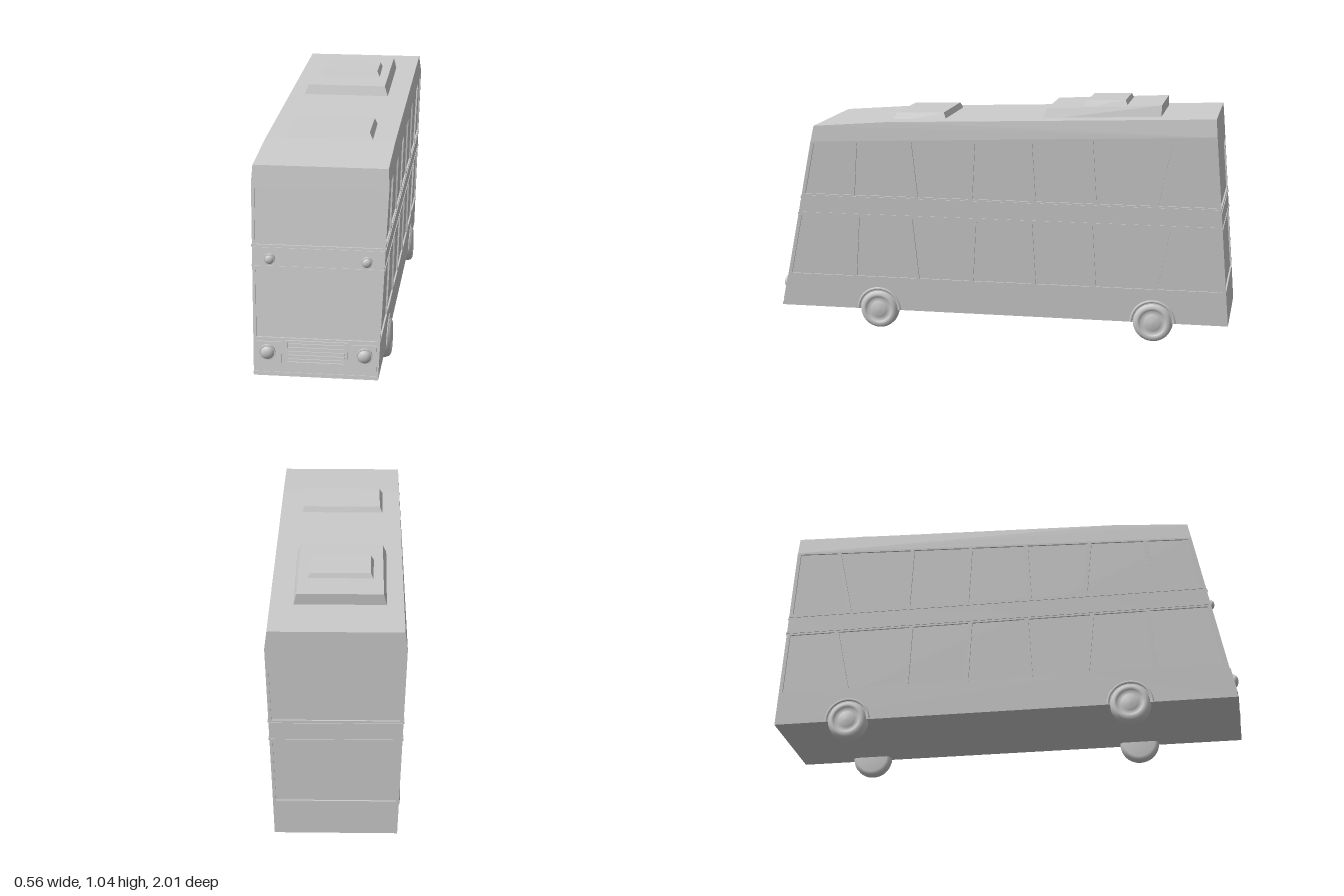
import * as THREE from 'three';
import { ConvexGeometry } from 'three/addons/geometries/ConvexGeometry.js';

const mat = new THREE.MeshStandardMaterial({ color: 0xcccccc });
const flat = new THREE.MeshStandardMaterial({ color: 0xcccccc, flatShading: true });

// Body envelope: half width, front and rear faces by height, and the side crease under the roof
const halfW = y => 0.25 + (y - 0.085) * 0.034;
const frontZ = y => 1 - (y - 0.085) * 0.207;
const rearZ = y => -1 + (y - 0.085) * 0.078;
const creaseY = z => 0.84 + (0.8437 - z) * 0.0393;
const FLOOR = 0.085, SKIN = 0.007;

// Mappings from flat (u, v, outward) onto each leaning wall
const onSide = (u, v, d) => [halfW(v) + d, v, -u];
const onFront = (u, v, d) => [u, v, frontZ(v) + d];
const onRear = (u, v, d) => [-u, v, rearZ(v) - d];

function add(parent, name, geometry, material = flat) {
  const mesh = new THREE.Mesh(geometry, material);
  mesh.name = name;
  parent.add(mesh);
  return mesh;
}

// Sheet with holes, laid on a wall between two offsets
function sheet(parent, name, map, outline, holes, inner, outer) {
  const vec = p => new THREE.Vector2(...p);
  const shape = new THREE.Shape(outline.map(vec));
  shape.holes = holes.map(h => new THREE.Path(h.map(vec)));
  const geo = new THREE.ExtrudeGeometry(shape, { depth: outer - inner, bevelEnabled: false });
  const pos = geo.attributes.position;
  for (let i = 0; i < pos.count; i++) {
    pos.setXYZ(i, ...map(pos.getX(i), pos.getY(i), pos.getZ(i) + inner));
  }
  geo.computeVertexNormals();
  return add(parent, name, geo);
}

const rect = (x0, x1, y0, y1) => [[x0, y0], [x1, y0], [x1, y1], [x0, y1]];

// Strip between two heights that keeps a margin from the tapering sides
function endStrip(y0, y1, margin) {
  const a = halfW(y0) - margin, b = halfW(y1) - margin;
  return [[-a, y0], [a, y0], [b, y1], [-b, y1]];
}

function hull(parent, name, points) {
  return add(parent, name, new ConvexGeometry(points.map(p => new THREE.Vector3(...p))));
}

const mirrored = list => list.flatMap(([x, y, z]) => [[x, y, z], [-x, y, z]]);

// Window openings of one deck on a side wall
function sideWindows(y0, topAt) {
  const mid = y0 + 0.13;
  const bars = [[0.65, -0.07], [0.385, 0.1], [0.12, -0.06], [-0.145, 0.06], [-0.41, 0.06], [-0.71, -0.2]];
  const lines = [y => frontZ(y) - 0.016,
    ...bars.map(([z, lean]) => y => z + lean * (y - mid)),
    y => rearZ(y) + 0.016];
  const holes = [];
  for (let i = 0; i < lines.length - 1; i++) {
    const g0 = i ? 0.009 : 0, g1 = i < lines.length - 2 ? 0.009 : 0;
    const yA = topAt(lines[i](y0 + 0.25)), yB = topAt(lines[i + 1](y0 + 0.25));
    holes.push([
      [-(lines[i](y0) - g0), y0], [-(lines[i + 1](y0) + g1), y0],
      [-(lines[i + 1](yB) + g1), yB], [-(lines[i](yA) - g0), yA],
    ]);
  }
  return holes;
}

function buildBody(bus) {
  // Inner core shows through the openings as the glass
  const core = [];
  for (const y of [FLOOR, 0.84]) {
    core.push([halfW(y) - SKIN, y, frontZ(y) - SKIN], [halfW(y) - SKIN, y, rearZ(y) + SKIN]);
  }
  core.push([halfW(0.91) - SKIN, 0.91, rearZ(0.91) + SKIN]);
  hull(bus, 'glassCore', mirrored(core));

  // Roof cap above the crease, slightly bowed
  const yF = 0.84, yR = 0.91;
  hull(bus, 'roof', mirrored([
    [halfW(yF), yF, frontZ(yF)], [halfW(yR), yR, rearZ(yR)],
    [0.271, 0.91, frontZ(0.91)], [0.27, 0.935, 0.5], [0.268, 0.985, rearZ(0.985)],
  ]));

  // Side walls, mirrored
  for (const s of [1, -1]) {
    const side = new THREE.Group();
    side.name = s > 0 ? 'leftSide' : 'rightSide';
    side.scale.x = s;
    bus.add(side);
    const outline = [[-frontZ(FLOOR), FLOOR], [-rearZ(FLOOR), FLOOR], [-rearZ(yR), yR], [-frontZ(yF), yF]];
    const holes = [...sideWindows(0.235, () => 0.505), ...sideWindows(0.605, z => creaseY(z) - 0.008)];
    sheet(side, 'sideWall', onSide, outline, holes, -SKIN, 0);
    for (const y of [0.513, 0.59]) {
      sheet(side, 'sideTrim', onSide, rect(-frontZ(y), -rearZ(y), y, y + 0.008), [], -0.002, 0.003);
    }
  }

  // Front and rear walls
  for (const [name, map, top] of [['front', onFront, yF], ['rear', onRear, yR]]) {
    const holes = [endStrip(0.235, 0.5, 0.012), endStrip(0.6, 0.825, 0.012)];
    sheet(bus, name + 'Wall', map, endStrip(FLOOR, top, 0), holes, -SKIN, 0);
    for (const y of [0.51, 0.582]) {
      sheet(bus, name + 'Trim', map, endStrip(y, y + 0.008, 0), [], -0.002, 0.003);
    }
  }
  sheet(bus, 'bumper', onFront, endStrip(0.085, 0.1, 0), [], -0.004, 0.003);
}

function buildFrontDetails(bus) {
  const lampOn = (name, x, y, r) => {
    const rim = add(bus, name + 'Rim', new THREE.CylinderGeometry(r, r, 0.016, 24), mat);
    rim.rotation.x = Math.PI / 2;
    rim.position.set(x, y, frontZ(y) + 0.003);
    const lens = add(bus, name, new THREE.SphereGeometry(r * 0.85, 20, 12), mat);
    lens.scale.z = 0.6;
    lens.position.set(x, y, frontZ(y) + 0.009);
  };
  for (const s of [1, -1]) {
    sheet(bus, 'headlightPanel', onFront, rect(s * 0.19 - 0.052, s * 0.19 + 0.052, 0.11, 0.22), [], -0.002, 0.005);
    lampOn('headlight', s * 0.195, 0.178, 0.032);
    lampOn('markerLamp', s * 0.195, 0.545, 0.022);
  }
  sheet(bus, 'grilleFrame', onFront, rect(-0.127, 0.127, 0.134, 0.227), [rect(-0.115, 0.115, 0.143, 0.219)], -0.002, 0.006);
  for (let i = 0; i < 5; i++) {
    const y = 0.148 + i * 0.015;
    sheet(bus, 'grilleSlat', onFront, rect(-0.113, 0.113, y, y + 0.007), [], -0.002, 0.005);
  }
}

// Roof box with sloping sides: x and z ranges, base and top heights at its front and rear
function roofBox(bus, name, [x0, x1], [zF, zR], base, topF, topR, inset, rearInset = inset) {
  const points = [];
  for (const [x, k] of [[x0, 1], [x1, -1]]) {
    points.push([x, base, zF], [x, base, zR],
      [x + k * inset, topF, zF - inset], [x + k * inset, topR, zR + rearInset]);
  }
  hull(bus, name, points);
}

function buildWheels(bus) {
  const profile = [[0, -0.03], [0.07, -0.03], [0.083, -0.022], [0.087, -0.005], [0.086, 0.015],
    [0.08, 0.03], [0.068, 0.036], [0.056, 0.034], [0.053, 0.026], [0.034, 0.028], [0.031, 0.034], [0, 0.036]];
  const tyre = new THREE.LatheGeometry(profile.map(p => new THREE.Vector2(...p)), 32);
  for (const s of [1, -1]) {
    for (const z of [0.55, -0.675]) {
      const wheel = add(bus, 'wheel', tyre, mat);
      wheel.rotation.z = -s * Math.PI / 2;
      wheel.position.set(s * 0.23, 0.087, z);
      const arch = add(bus, 'wheelArch', new THREE.TorusGeometry(0.094, 0.006, 8, 24, Math.PI), mat);
      arch.rotation.y = Math.PI / 2;
      arch.position.set(s * 0.253, 0.087, z);
    }
  }
}

export function createModel() {
  const bus = new THREE.Group();
  bus.name = 'doubleDeckerBus';
  buildBody(bus);
  buildFrontDetails(bus);
  roofBox(bus, 'frontRoofHatch', [-0.2, 0.183], [0.5, 0.245], 0.92, 0.962, 0.968, 0.022);
  roofBox(bus, 'rearRoofUnit', [-0.205, 0.18], [-0.175, -0.69], 0.95, 1.0, 1.024, 0.018, 0);
  roofBox(bus, 'rearRoofHatch', [-0.152, 0.128], [-0.345, -0.545], 1.0, 1.032, 1.036, 0.016);
  buildWheels(bus);
  return bus;
}
